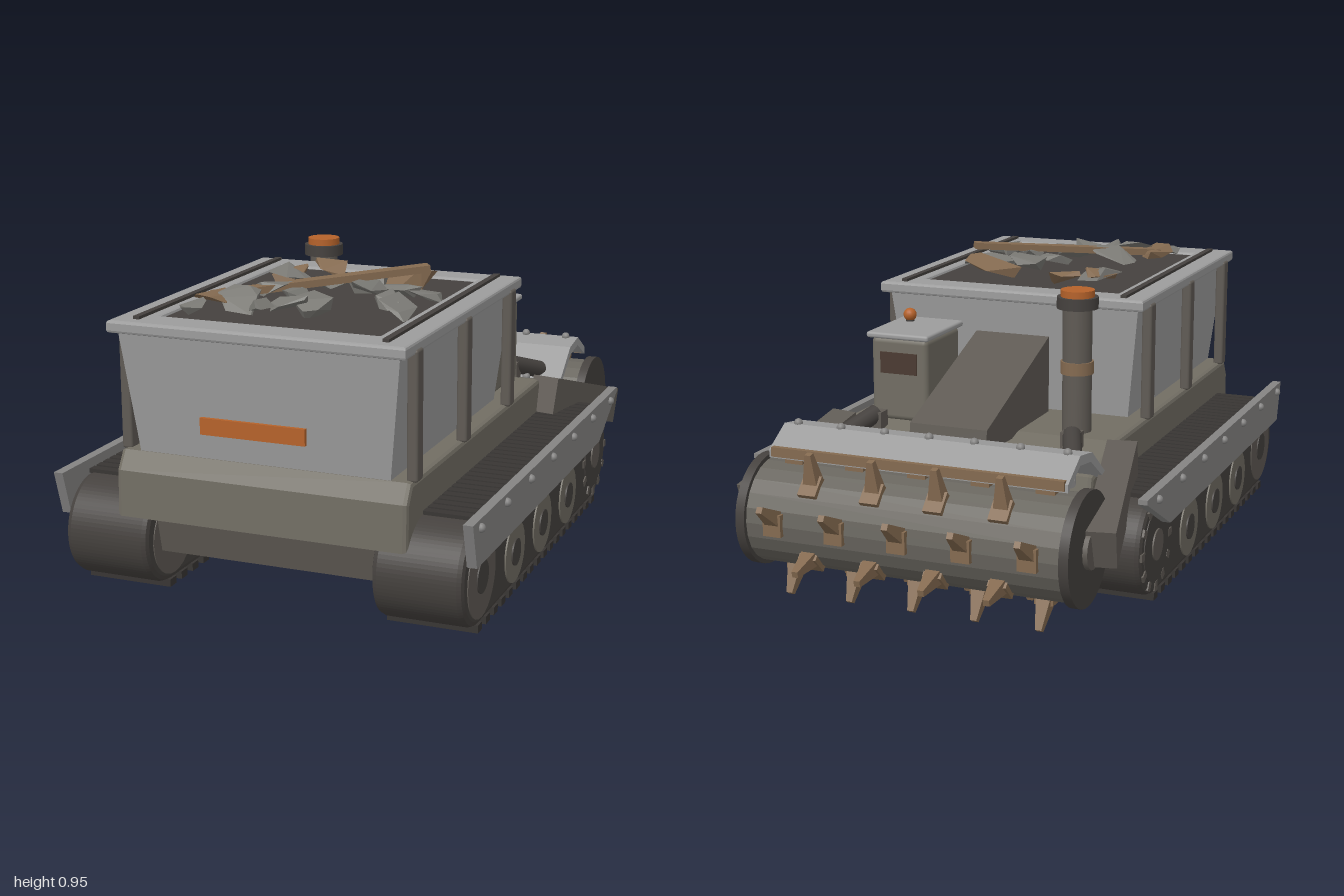
import * as THREE from 'three';
import { RoundedBoxGeometry } from 'three/addons/geometries/RoundedBoxGeometry.js';
import { ConvexGeometry } from 'three/addons/geometries/ConvexGeometry.js';

const mat = (color, flatShading = false) => new THREE.MeshStandardMaterial({ color, flatShading });
const M = {
  light: mat(0x9c9c9c), steel: mat(0x858483), olive: mat(0x716d63), hull: mat(0x5f5a54),
  dark: mat(0x45413e), black: mat(0x383533), orange: mat(0xb5622a), brown: mat(0x846a50),
  glass: mat(0x4a3a31), rock: mat(0x7a7974, true), rust: mat(0x846a50, true), drum: mat(0x68655e, true),
};

export function createModel() {
  const model = new THREE.Group();
  const add = (name, geo, m, x = 0, y = 0, z = 0, parent = model) => {
    const mesh = new THREE.Mesh(geo, m);
    mesh.name = name;
    mesh.position.set(x, y, z);
    parent.add(mesh);
    return mesh;
  };
  const box = (w, h, d) => new THREE.BoxGeometry(w, h, d);
  const cyl = (r, h, n = 24, r2 = r) => new THREE.CylinderGeometry(r2, r, h, n);
  const cylX = (r, w, n = 28) => cyl(r, w, n).rotateZ(Math.PI / 2);
  const bolt = (name, x, y, z) => add(name, new THREE.SphereGeometry(0.014, 10, 8), M.steel, x, y, z);
  const polygon = (pts, C = THREE.Shape) => new C(pts.map(q => new THREE.Vector2(...q)));
  // side profile, drawn in (z, y), extruded from x0 to x1
  const profile = (shape, x0, x1, bevel = 0) => new THREE.ExtrudeGeometry(shape, {
    depth: x1 - x0 - 2 * bevel, bevelEnabled: bevel > 0, bevelSize: bevel,
    bevelThickness: bevel, bevelOffset: -bevel, bevelSegments: 2, curveSegments: 20,
  }).rotateY(-Math.PI / 2).translate(x1 - bevel, 0, 0);
  // rod between two points
  const rod = (name, a, b, r, m) => {
    const A = new THREE.Vector3(...a), B = new THREE.Vector3(...b), d = B.clone().sub(A);
    const o = add(name, cyl(r, d.length(), 14), m);
    o.position.copy(A).add(B).multiplyScalar(0.5);
    o.quaternion.setFromUnitVectors(new THREE.Vector3(0, 1, 0), d.normalize());
  };

  // hull
  add('lowerHull', profile(polygon([[0.9, 0.135], [0.93, 0.27], [-0.55, 0.27], [-0.55, 0.135]]), -0.37, 0.37), M.hull);
  add('upperHull', profile(polygon([[0.975, 0.258], [0.97, 0.4], [0.935, 0.456], [-0.3, 0.456], [-0.52, 0.4], [-0.55, 0.258]]),
    -0.463, 0.463, 0.014), M.olive);
  for (const x of [-0.38, -0.27, 0.27, 0.38]) bolt('deckBolt', x, 0.428, -0.43);

  // tracks, wheels and skirts
  const R = 0.158, cy = 0.178, zf = 0.835, zb = -0.415;
  for (const s of [-1, 1]) {
    const track = new THREE.Group();
    track.name = s > 0 ? 'leftTrack' : 'rightTrack';
    model.add(track);
    const loop = new THREE.Shape();
    loop.moveTo(zb, cy - R);
    loop.lineTo(zf, cy - R);
    loop.absarc(zf, cy, R, -Math.PI / 2, Math.PI / 2, false);
    loop.lineTo(zb, cy + R);
    loop.absarc(zb, cy, R, Math.PI / 2, Math.PI * 1.5, false);
    const cx = s * 0.497;
    add('trackBelt', profile(loop, cx - 0.138, cx + 0.138, 0.018), M.dark, 0, 0, 0, track);
    for (let i = 0; i < 18; i++) {
      add('trackPad', box(0.28, 0.024, 0.038), M.black, cx, 0.012, 0.835 - i * 0.0735, track);
    }
    for (let i = 0; i < 32; i++) {
      add('topPad', box(0.27, 0.014, 0.03), M.black, cx, 0.34, 0.83 - i * 0.041, track);
    }
    for (const z of [0.51, 0.22, -0.075]) {
      add('roadWheel', cylX(0.096, 0.286), M.olive, cx, 0.132, z, track);
      add('wheelHub', cylX(0.042, 0.296), M.dark, cx, 0.132, z, track);
    }
    add('idlerWheel', cylX(0.125, 0.282), M.hull, cx, 0.165, 0.825, track);
    add('idlerHub', cylX(0.05, 0.29), M.dark, cx, 0.165, 0.825, track);
    add('sprocket', cylX(0.122, 0.282), M.dark, cx, cy, zb, track);
    add('sprocketHub', cylX(0.05, 0.292), M.hull, cx, cy, zb, track);
    for (let i = 0; i < 12; i++) {
      const a = i * Math.PI / 6;
      add('sprocketTooth', box(0.284, 0.03, 0.024), M.hull, cx, cy + 0.133 * Math.cos(a), zb + 0.133 * Math.sin(a), track).rotation.x = a;
    }
    add('sideSkirt', profile(polygon([[0.995, 0.375], [0.955, 0.237], [-0.37, 0.237], [-0.6, 0.36], [-0.6, 0.375]]),
      s * 0.65 - 0.015, s * 0.65 + 0.015), M.steel);
    for (let i = 0; i < 7; i++) bolt('skirtBolt', s * 0.667, 0.35, 0.93 - i * 0.238);
    // drum arm and hydraulic ram
    const arm = add('drumArm', box(0.095, 0.125, 0.5), M.hull, s * 0.53, 0.335, -0.53);
    arm.rotation.set(-0.29, s * -0.2, 0, 'YXZ');
    rod('ramCylinder', [s * 0.34, 0.485, -0.37], [s * 0.4, 0.435, -0.52], 0.03, M.dark);
    rod('ramRod', [s * 0.38, 0.45, -0.48], [s * 0.43, 0.405, -0.62], 0.016, M.steel);
    add('ramMount', box(0.06, 0.06, 0.05), M.hull, s * 0.34, 0.465, -0.37);
  }

  // spiked drum; rows alternate five and four spikes, all raked forward
  const drum = new THREE.Group();
  drum.name = 'drum';
  drum.position.set(0, 0.258, -0.755);
  model.add(drum);
  add('drumBody', cylX(0.163, 1.02, 22), M.drum, 0, 0, 0, drum);
  for (const s of [-1, 1]) {
    add('drumDisc', cylX(0.176, 0.03, 36), M.dark, s * 0.525, 0, 0, drum);
    add('drumAxle', cylX(0.06, 0.05, 16), M.hull, s * 0.53, 0, 0, drum);
  }
  const spike = cyl(0.037, 0.115, 4, 0.014).rotateY(Math.PI / 4);
  for (let k = 0; k < 8; k++) {
    const row = new THREE.Group();
    row.name = 'spikeRow';
    row.rotation.x = -Math.PI / 2 + k * Math.PI / 4;
    drum.add(row);
    const n = k % 2 ? 4 : 5;
    for (let i = 0; i < n; i++) {
      const x = (i - (n - 1) / 2) * 0.207;
      add('spikeFoot', box(0.06, 0.03, 0.07), M.rust, x, 0.162, 0.005, row);
      add('spike', spike, M.rust, x, 0.196, 0.045, row).rotation.x = 0.55;
    }
  }

  // drum hood
  add('drumHood', profile(polygon([[-0.47, 0.405], [-0.6, 0.505], [-0.7, 0.52], [-0.8, 0.46], [-0.8, 0.435],
    [-0.7, 0.49], [-0.61, 0.478], [-0.49, 0.395]]), -0.49, 0.49), M.light);
  add('hoodEdge', box(0.96, 0.03, 0.018), M.brown, 0, 0.455, -0.797);
  for (let i = -3; i <= 3; i++) bolt('hoodBolt', i * 0.149, 0.522, -0.69);

  // sloping conveyor
  add('conveyor', profile(polygon([[-0.03, 0.71], [-0.03, 0.45], [-0.3, 0.44], [-0.56, 0.455], [-0.55, 0.52]]), -0.13, 0.13), M.hull);

  // cab
  add('cab', new RoundedBoxGeometry(0.2, 0.275, 0.26, 3, 0.018), M.olive, 0.28, 0.59, -0.187);
  add('cabRoof', new RoundedBoxGeometry(0.22, 0.02, 0.285, 2, 0.008), M.light, 0.28, 0.735, -0.19);
  add('cabWindow', box(0.13, 0.07, 0.01), M.glass, 0.28, 0.645, -0.317);
  add('beaconBase', cyl(0.014, 0.02, 12), M.dark, 0.33, 0.748, -0.125);
  add('beacon', new THREE.SphereGeometry(0.022, 16, 12), M.orange, 0.33, 0.767, -0.125);

  // exhaust stack
  const stack = (name, r, y0, y1, m) => add(name, cyl(r, y1 - y0, 20), m, -0.3, (y0 + y1) / 2, -0.22);
  stack('stackPipe', 0.047, 0.45, 0.87, M.hull);
  stack('stackBand', 0.053, 0.645, 0.685, M.brown);
  stack('stackCollar', 0.066, 0.855, 0.892, M.dark);
  stack('stackCap', 0.054, 0.89, 0.914, M.orange);

  // hopper with flared walls
  const walls = box(0.88, 0.37, 1.01), p = walls.attributes.position;
  for (let i = 0; i < p.count; i++) {
    if (p.getY(i) < 0) p.setXYZ(i, p.getX(i) * 0.905, p.getY(i), p.getZ(i) * 0.925);
  }
  walls.computeVertexNormals();
  add('hopperWalls', walls, M.light, 0, 0.64, 0.465);
  const rect = (x, z0, z1, C) => polygon([[-x, z0], [x, z0], [x, z1], [-x, z1]], C);
  const rim = rect(0.465, -0.067, 0.993);
  rim.holes.push(rect(0.345, 0.035, 0.88, THREE.Path));
  add('hopperRim', new THREE.ExtrudeGeometry(rim, { depth: 0.022, bevelSize: 0.008, bevelThickness: 0.008, bevelOffset: -0.008, bevelSegments: 2 })
    .rotateX(Math.PI / 2), M.light, 0, 0.852, 0);
  add('hopperFill', box(0.7, 0.03, 0.855), M.dark, 0, 0.836, 0.457);
  for (const s of [-1, 1]) {
    add('rimBar', box(0.02, 0.014, 0.99), M.dark, s * 0.39, 0.862, 0.455);
    for (const z of [0.89, 0.465, 0.03]) {
      add('hopperPost', new RoundedBoxGeometry(0.034, 0.385, 0.05, 2, 0.008), M.hull, s * 0.455, 0.643, z);
    }
  }
  add('rearPanel', box(0.33, 0.05, 0.012), M.orange, 0, 0.574, 0.994);

  // rubble: [x, z, size, isRust]
  let seed = 7;
  const rnd = () => (seed = (seed * 16807) % 2147483647) / 2147483647;
  const rubble = [[-0.13, 0.11, 0.06, 1], [-0.2, 0.26, 0.085, 0], [-0.22, 0.23, 0.07, 1], [0.18, 0.22, 0.09, 1],
    [0.1, 0.33, 0.075, 0], [0.02, 0.4, 0.06, 0], [0.2, 0.36, 0.075, 0], [0.29, 0.37, 0.06, 0], [0.13, 0.43, 0.07, 0],
    [-0.15, 0.54, 0.085, 0], [-0.04, 0.58, 0.06, 0], [0.04, 0.65, 0.08, 0], [0.28, 0.6, 0.075, 0], [0.24, 0.56, 0.06, 0],
    [-0.17, 0.71, 0.08, 0], [-0.25, 0.71, 0.08, 1], [-0.09, 0.74, 0.06, 0], [-0.27, 0.81, 0.05, 0], [-0.01, 0.71, 0.06, 0]];
  for (const [x, z, r, rust] of rubble) {
    const pts = [];
    for (let i = 0; i < 9; i++) {
      const a = i * 2.4 + rnd(), q = r * (0.75 + 0.5 * rnd());
      pts.push(new THREE.Vector3(Math.cos(a) * q, (rnd() - 0.5) * r * 0.75, Math.sin(a) * q * 0.75));
    }
    const o = add('rubble', new ConvexGeometry(pts), rust ? M.rust : M.rock, x, 0.875 + rnd() * 0.02, z);
    o.rotation.set((rnd() - 0.5) * 0.6, rnd() * 6.28, (rnd() - 0.5) * 0.6);
  }
  const plank = add('plank', box(0.68, 0.022, 0.045), M.brown, 0, 0.915, 0.49);
  plank.rotation.set(0, 0.63, 0.075, 'YXZ');

  return model;
}
